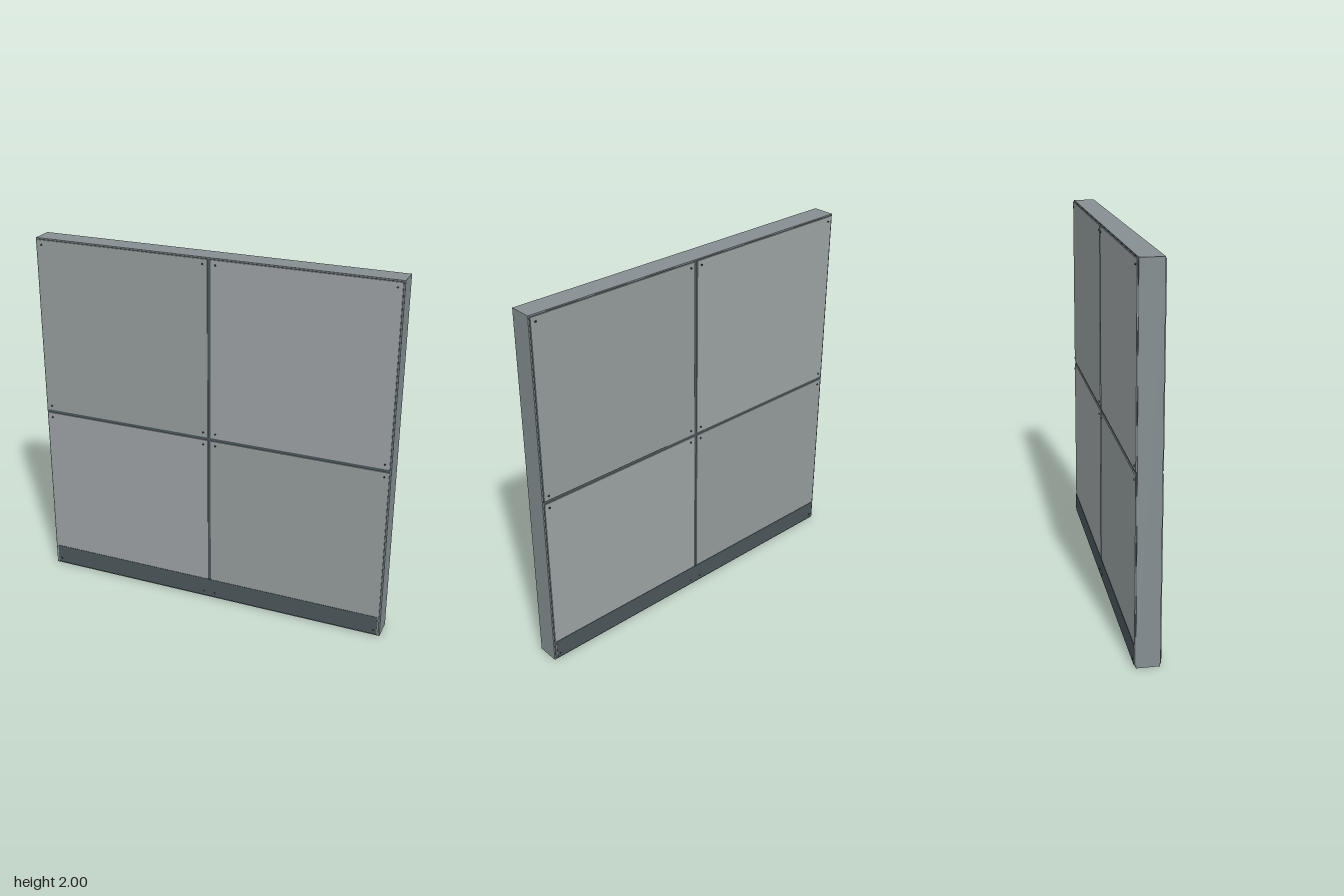
import * as THREE from 'three';

const paint = (color) => new THREE.MeshStandardMaterial({ color });

export function createModel() {
  const wall = new THREE.Group();
  wall.name = 'wallPanel';
  const frame = paint(0x858e91), dark = paint(0x4a5559), bolt = paint(0x34393b);
  const shades = [paint(0x949c9b), paint(0x9ca1a3)];

  const add = (parent, name, geometry, material, x, y, z) => {
    const mesh = new THREE.Mesh(geometry, material);
    mesh.name = name;
    mesh.position.set(x, y, z);
    parent.add(mesh);
    return mesh;
  };

  // Structural slab
  add(wall, 'core', new THREE.BoxGeometry(2, 2, 0.12), frame, 0, 1, 0);

  const backing = new THREE.BoxGeometry(1.99, 1.99, 0.002);
  const plate = new THREE.BoxGeometry(0.982, 0.982, 0.007);
  const kick = new THREE.BoxGeometry(1.97, 0.11, 0.004);
  const screw = new THREE.CylinderGeometry(0.005, 0.005, 0.006, 8).rotateX(Math.PI / 2);

  // Both faces carry the same cladding
  for (const turn of [0, Math.PI]) {
    const face = new THREE.Group();
    face.name = turn ? 'backFace' : 'frontFace';
    face.rotation.y = turn;
    wall.add(face);

    // Dark backing seen in the joints
    add(face, 'jointBacking', backing, dark, 0, 1, 0.06);

    // Four plates in alternating shades, a screw near every corner
    for (const sx of [-1, 1]) {
      for (const sy of [-1, 1]) {
        const cx = sx * 0.5, cy = 1 + sy * 0.5;
        add(face, 'plate', plate, shades[sx === sy ? 1 : 0], cx, cy, 0.0625);
        for (const dx of [-0.465, 0.465])
          for (const dy of [-0.465, 0.465])
            add(face, 'screw', screw, bolt, cx + dx, cy + dy, 0.068);
      }
    }

    // Kick strip along the floor
    add(face, 'kickStrip', kick, dark, 0, 0.065, 0.066);
  }
  return wall;
}
